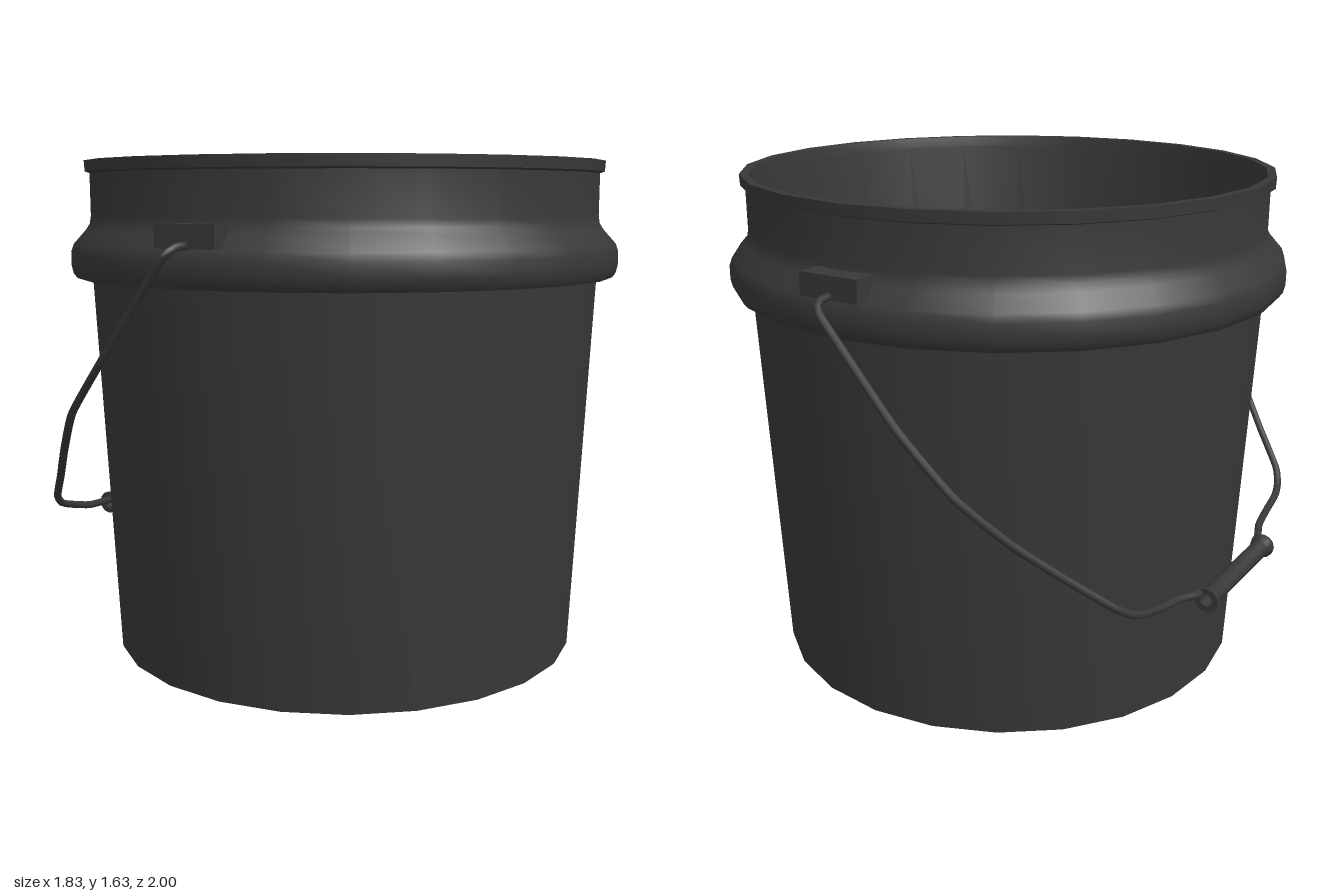
import * as THREE from 'three';
import { toCreasedNormals } from 'three/addons/utils/BufferGeometryUtils.js';

const material = new THREE.MeshStandardMaterial({ color: 0x383838 });

function part(name, geometry, parent) {
  const mesh = new THREE.Mesh(geometry, material);
  mesh.name = name;
  parent.add(mesh);
  return mesh;
}

// Turned part from [radius, height] pairs, with sharp corners kept sharp
function turned(profile, sides) {
  const points = profile.map(([r, y]) => new THREE.Vector2(r, y));
  return toCreasedNormals(new THREE.LatheGeometry(points, sides), 0.6);
}

export function createModel() {
  const bucket = new THREE.Group();
  bucket.name = 'bucket';

  // Shell: underside, outer wall, collar, lip, then down the inside to the floor
  part('shell', turned([
    [0, 0], [0.79, 0], [0.85, 1.26],
    [0.9, 1.26], [0.911, 1.275], [0.917, 1.3], [0.917, 1.345], [0.908, 1.37],
    [0.868, 1.415], [0.855, 1.435], [0.851, 1.46], [0.851, 1.595],
    [0.866, 1.6], [0.868, 1.635], [0.84, 1.635],
    [0.832, 1.6], [0.735, 0.04], [0, 0.04],
  ], 24), bucket);

  // Handle lugs on the collar and the two halves of the wire bail
  const wirePoints = [
    [0, 1.385, 0.88], [0, 1.383, 0.95], [-0.012, 1.365, 0.985], [-0.05, 1.32, 0.987],
    [-0.26, 1.06, 0.968], [-0.42, 0.88, 0.927], [-0.54, 0.74, 0.835],
    [-0.65, 0.625, 0.735], [-0.76, 0.52, 0.635], [-0.79, 0.48, 0.58],
    [-0.805, 0.46, 0.52], [-0.81, 0.435, 0.42], [-0.825, 0.425, 0.32],
    [-0.85, 0.415, 0.25], [-0.852, 0.414, 0.215],
  ];
  for (const side of [1, -1]) {
    const end = side > 0 ? 'front' : 'back';

    const lug = part(end + 'Lug', new THREE.BoxGeometry(0.205, 0.07, 0.09), bucket);
    lug.position.set(0, 1.41, side * 0.875);

    const path = new THREE.CatmullRomCurve3(
      wirePoints.map(([x, y, z]) => new THREE.Vector3(x, y, z * side)), false, 'catmullrom', 0.25);
    part(end + 'Wire', new THREE.TubeGeometry(path, 70, 0.0125, 8), bucket);
  }

  // Hollow hand grip with flared ends
  const grip = part('grip', turned([
    [0.02, -0.235], [0.04, -0.235], [0.04, -0.222], [0.03, -0.2],
    [0.03, 0.2], [0.04, 0.222], [0.04, 0.235], [0.02, 0.235], [0.02, -0.235],
  ], 12), bucket);
  grip.rotation.x = Math.PI / 2;
  grip.position.set(-0.875, 0.395, 0);

  return bucket;
}
